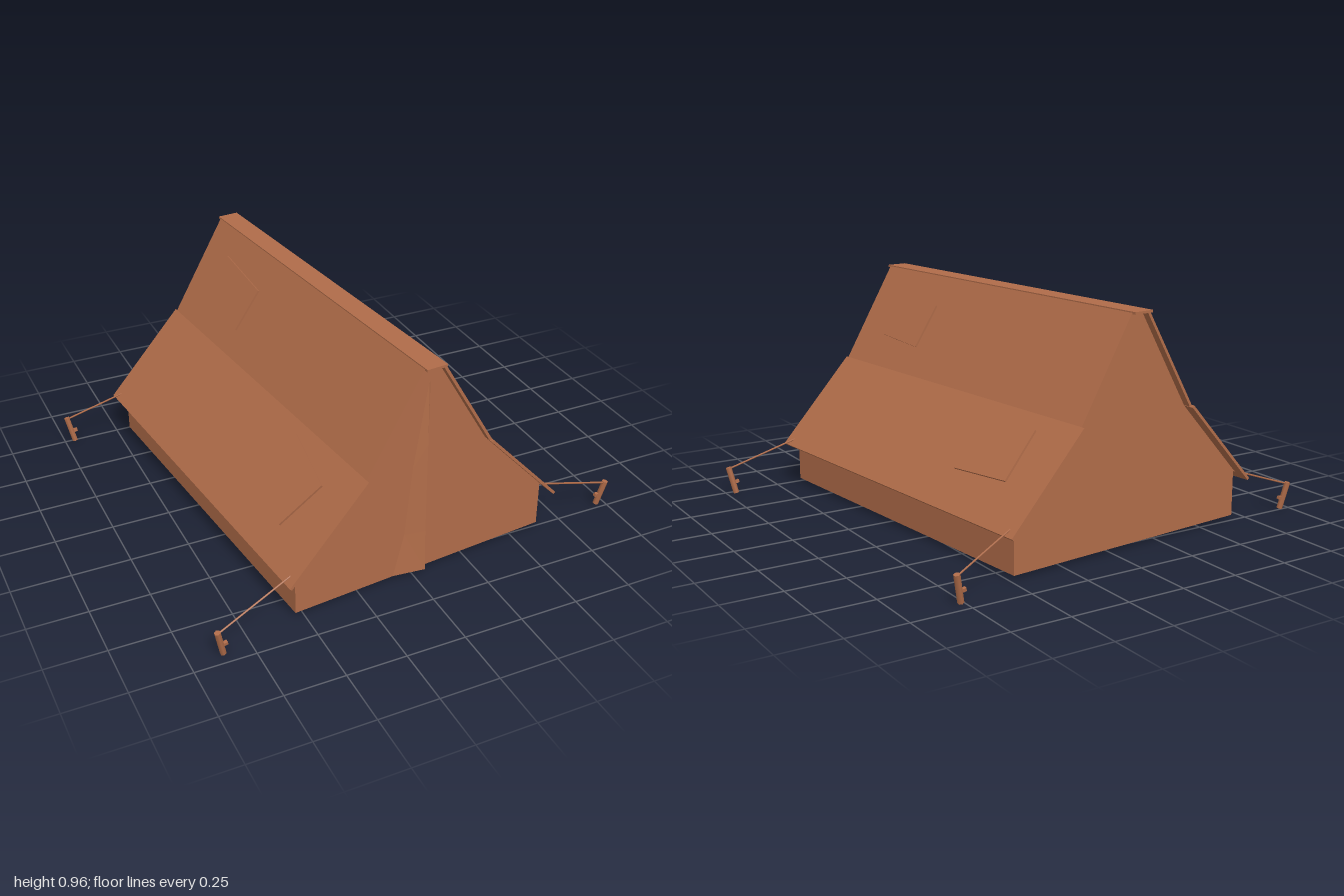
import * as THREE from 'three';

const canvas = new THREE.MeshStandardMaterial({ color: 0xb06c49 });
canvas.name = 'brown canvas';

function add(parent, name, geometry, x = 0, y = 0, z = 0) {
  const mesh = new THREE.Mesh(geometry, canvas);
  mesh.name = name;
  mesh.position.set(x, y, z);
  parent.add(mesh);
  return mesh;
}

// Straight rod between two points
function rod(parent, name, a, b, radius, sides) {
  const dir = b.clone().sub(a);
  const mesh = add(parent, name, new THREE.CylinderGeometry(radius, radius, dir.length(), sides));
  mesh.position.copy(a).add(b).multiplyScalar(0.5);
  mesh.quaternion.setFromUnitVectors(new THREE.Vector3(0, 1, 0), dir.normalize());
  return mesh;
}

// Sloping roof panel with a raised window patch
function roofPanel(parent, name, [x0, y0], [x1, y1], length, win) {
  const panel = new THREE.Group();
  panel.name = name;
  panel.position.set((x0 + x1) / 2, (y0 + y1) / 2, 0);
  panel.rotation.z = Math.atan2(y1 - y0, x1 - x0);
  parent.add(panel);
  const t = 0.012;
  add(panel, name + 'Sheet', new THREE.BoxGeometry(Math.hypot(x1 - x0, y1 - y0), t, length), 0, -t / 2, 0);
  const patch = add(panel, 'windowPatch', new THREE.BoxGeometry(win.width, 0.009, win.length), win.x, 0.0125, win.z);
  patch.rotation.y = win.spin;
}

// Folded entrance flap, standing slightly proud along its right edge
function doorFlap(parent, z) {
  const left = [[0.0, 0.875], [-0.062, 0.5], [-0.092, 0.2], [-0.14, 0.016]];
  const right = [[0.002, 0.875], [-0.002, 0.6], [-0.004, 0.2], [-0.004, 0.016]];
  const pos = [], idx = [];
  left.forEach(([lx, y], i) => {
    const [rx, ry] = right[i];
    const out = 0.005 + 0.025 * (i / 3);
    pos.push(lx, y, z + 0.002, rx, ry, z + out, rx, ry, z);
    if (i === 0) return;
    const a = (i - 1) * 3, b = i * 3;
    idx.push(a, b, b + 1, a, b + 1, a + 1, a + 1, b + 1, b + 2, a + 1, b + 2, a + 2);
  });
  const geo = new THREE.BufferGeometry();
  geo.setAttribute('position', new THREE.Float32BufferAttribute(pos, 3));
  geo.setIndex(idx);
  const flat = geo.toNonIndexed();
  flat.computeVertexNormals();
  add(parent, 'doorFlap', flat);
}

export function createModel() {
  const root = new THREE.Group();
  root.name = 'tent';
  const tent = new THREE.Group();
  tent.name = 'tentBody';
  tent.position.set(-0.0275, 0, 0.009);
  tent.rotation.y = 0.0997;
  root.add(tent);
  tent.updateMatrix();

  // Walls and floor as one extruded profile
  const half = [[0.588, 0.014], [0.588, 0.22], [0.285, 0.535], [0.04, 0.947]];
  const profile = [...half, ...half.slice().reverse().map(([x, y]) => [-x, y])];
  const wall = new THREE.ExtrudeGeometry(
    new THREE.Shape(profile.map(([x, y]) => new THREE.Vector2(x, y))),
    { depth: 1.6, bevelEnabled: false });
  add(tent, 'wallsAndFloor', wall, 0, 0, -0.8);
  doorFlap(tent, 0.8);

  // Roof: a steep upper and a shallower lower panel on each side
  for (const side of [1, -1]) {
    const roof = new THREE.Group();
    roof.name = side > 0 ? 'leftRoof' : 'rightRoof';
    if (side < 0) roof.rotation.y = Math.PI;
    tent.add(roof);
    roofPanel(roof, 'upperRoof', [0.045, 0.955], [0.292, 0.545], 1.665,
      { width: 0.205, length: side > 0 ? 0.27 : 0.33, x: 0, z: 0.476, spin: side > 0 ? -0.07 : -0.12 });
    roofPanel(roof, 'lowerRoof', [0.292, 0.545], [0.637, 0.18], 1.695,
      { width: 0.235, length: 0.31, x: -0.05, z: -0.487, spin: side > 0 ? 0.07 : -0.27 });
  }
  add(tent, 'ridgeCap', new THREE.BoxGeometry(0.092, 0.01, 1.7), 0, 0.953, 0);

  // Guy ropes and hooked pegs at the four corners
  const pegs = [[0.975, 0.735, 1, 1], [0.78, -0.955, 1, -1], [-0.88, 0.96, -1, 1], [-0.97, -0.755, -1, -1]];
  for (const [x, z, sx, sz] of pegs) {
    const tie = new THREE.Vector3(sx * 0.588, 0.21, sz * 0.8).applyMatrix4(tent.matrix);
    const top = new THREE.Vector3(x + sx * 0.01, 0.12, z + sz * 0.004);
    const foot = new THREE.Vector3(x - sx * 0.015, 0.003, z - sz * 0.012);
    rod(root, 'guyRope', tie, top.clone().setY(0.113), 0.004, 6);
    const peg = rod(root, 'peg', foot, top, 0.013, 6);
    add(peg, 'pegHook', new THREE.BoxGeometry(0.022, 0.014, 0.014), -sx * 0.016, -0.012, 0);
  }
  return root;
}
